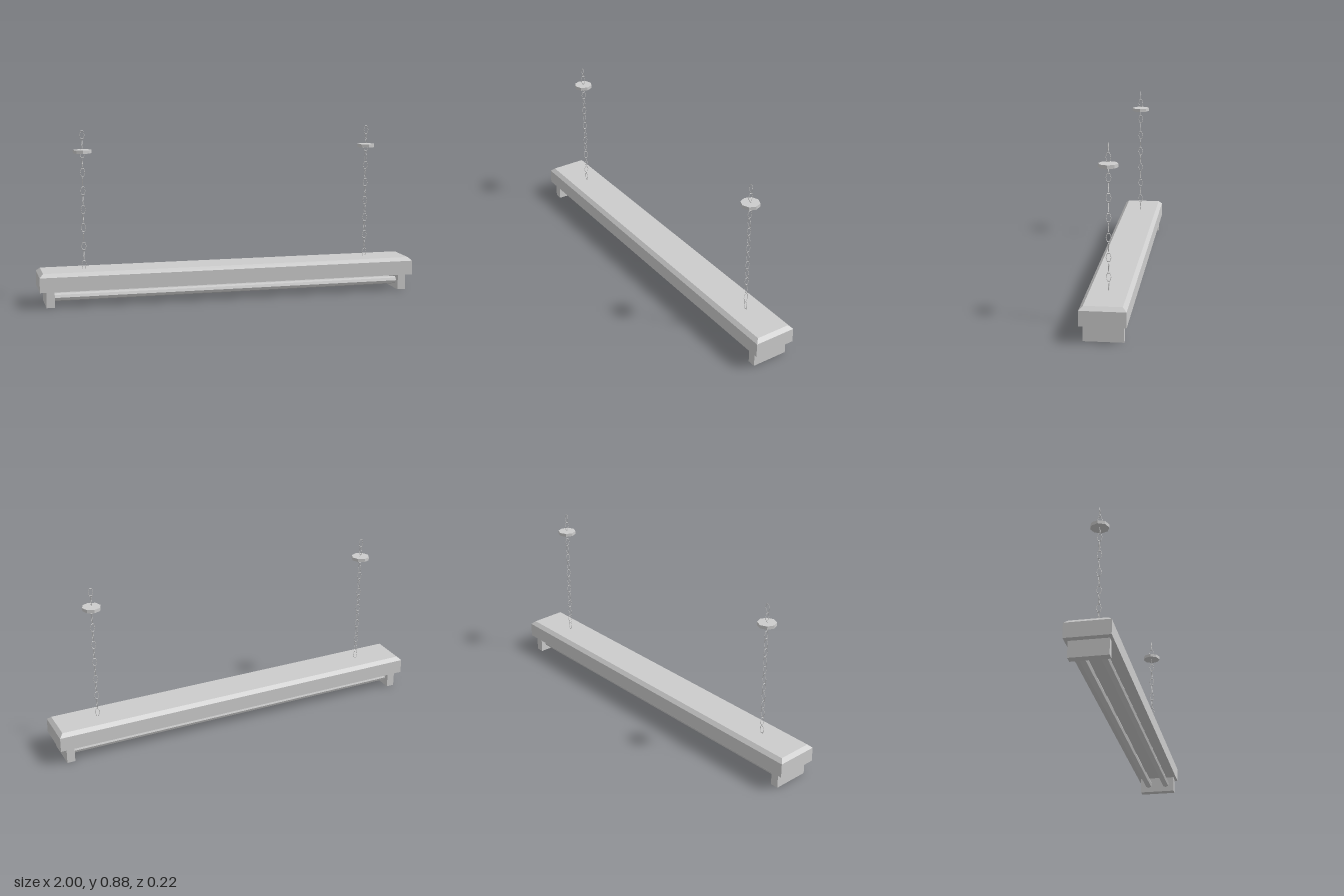
import * as THREE from 'three';

const grey = new THREE.MeshStandardMaterial({ color: 0xcccccc });
grey.name = 'light grey metal';

function part(parent, name, geometry, x = 0, y = 0, z = 0) {
  // Un-indexed normals keep every facet flat
  const flat = geometry.index ? geometry.toNonIndexed() : geometry;
  flat.computeVertexNormals();
  const mesh = new THREE.Mesh(flat, grey);
  mesh.name = name;
  mesh.position.set(x, y, z);
  parent.add(mesh);
  return mesh;
}

export function createModel() {
  const model = new THREE.Group();
  model.name = 'hangingTubeLight';

  // Housing: straight box with a bevelled lid
  part(model, 'housing', new THREE.BoxGeometry(2, 0.075, 0.22), 0, 0.1195, 0);
  const lid = new THREE.BoxGeometry(2, 0.018, 0.22);
  const p = lid.attributes.position;
  for (let i = 0; i < p.count; i++) {
    if (p.getY(i) > 0) {
      p.setX(i, Math.sign(p.getX(i)) * 0.981);
      p.setZ(i, Math.sign(p.getZ(i)) * 0.091);
    }
  }
  part(model, 'bevelledLid', lid, 0, 0.166, 0);

  // Two fluorescent tubes
  for (const z of [-0.05, 0.05]) {
    const tube = new THREE.CylinderGeometry(0.02, 0.02, 1.85, 8).rotateZ(Math.PI / 2);
    part(model, 'lightTube', tube, 0, 0.045, z);
  }

  for (const side of [-1, 1]) {
    // Lamp holder at each end
    part(model, 'endBracket', new THREE.BoxGeometry(0.042, 0.082, 0.19), side * 0.946, 0.041, 0);

    // Hanging chain with links turned alternately by a quarter turn
    const hanger = new THREE.Group();
    hanger.name = 'hanger';
    hanger.position.x = side * 0.763;
    model.add(hanger);
    for (let i = 0; i < 15; i++) {
      const link = new THREE.TorusGeometry(0.0122, 0.0015, 4, 6).scale(1, 1.85, 1);
      if (i % 2) link.rotateY(Math.PI / 2);
      part(hanger, 'chainLink', link, 0, 0.1975 + i * 0.0475, 0);
    }

    // Octagonal ceiling plate
    part(hanger, 'ceilingPlate', new THREE.CylinderGeometry(0.047, 0.047, 0.017, 8), 0, 0.779, 0);
  }
  return model;
}
